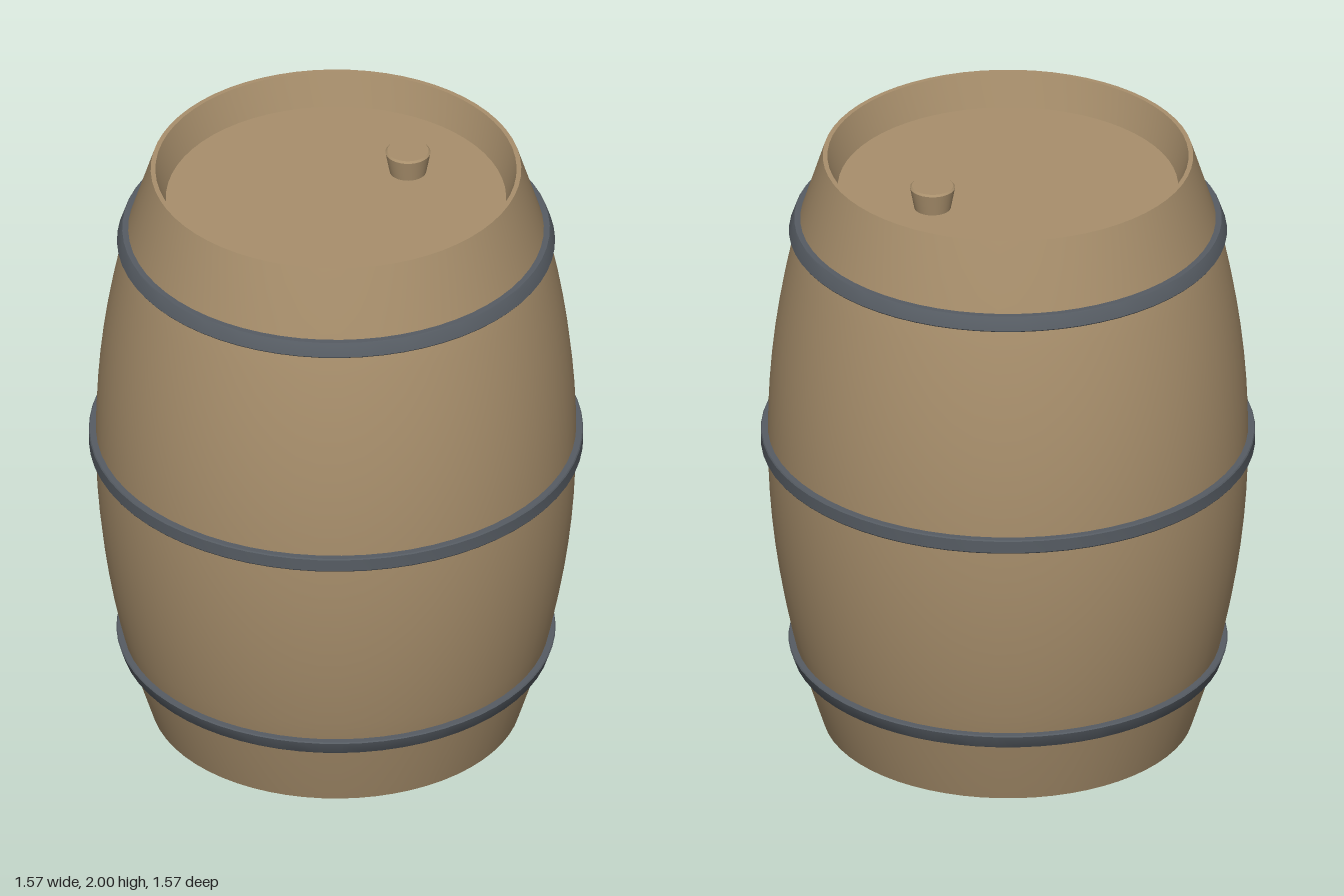
import * as THREE from 'three';
import { toCreasedNormals } from 'three/addons/utils/BufferGeometryUtils.js';

const SEGMENTS = 64;

export function createModel() {
  const barrel = new THREE.Group();
  barrel.name = 'barrel';

  const wood = new THREE.MeshStandardMaterial({ color: 0xa88f6c });
  wood.name = 'wood';
  const iron = new THREE.MeshStandardMaterial({ color: 0x565c63 });
  iron.name = 'iron';

  const add = (name, geometry, material) => {
    const mesh = new THREE.Mesh(geometry, material);
    mesh.name = name;
    barrel.add(mesh);
    return mesh;
  };
  // Revolved profile of [radius, y] pairs with crisp edges
  const turned = (profile, segments = SEGMENTS) => toCreasedNormals(
    new THREE.LatheGeometry(profile.map(([r, y]) => new THREE.Vector2(r, y)), segments), 0.5);

  // Radius of the bulging wall at a height, with straight tapered ends
  const wallRadius = (y) => {
    const d = Math.abs(y - 1);
    return d > 0.75 ? 0.67 - (d - 0.75) * 0.32 : 0.765 - 0.169 * d * d;
  };

  // Wall: recessed lower lip, bulging outside, recessed upper lip
  const profile = [[0.542, 0.11], [0.575, 0], [0.59, 0]];
  for (let i = 0; i <= 16; i++) {
    const y = 0.25 + (1.5 * i) / 16;
    profile.push([wallRadius(y), y]);
  }
  profile.push([0.59, 2], [0.575, 2], [0.542, 1.89]);
  add('staves', turned(profile), wood);

  // Flat heads set into both ends
  for (const [name, y, side] of [['topHead', 1.89, -1], ['bottomHead', 0.11, 1]]) {
    const head = add(name, new THREE.CircleGeometry(0.543, SEGMENTS), wood);
    head.rotation.x = (side * Math.PI) / 2;
    head.position.y = y;
  }

  // Hoops following the slope of the wall
  for (const [name, y] of [['lowerHoop', 0.255], ['middleHoop', 1.003], ['upperHoop', 1.752]]) {
    const low = y - 0.024, high = y + 0.024;
    const rLow = wallRadius(low), rHigh = wallRadius(high);
    add(name, turned([
      [rLow - 0.01, low], [rLow + 0.019, low], [rLow + 0.022, low + 0.004],
      [rHigh + 0.022, high - 0.004], [rHigh + 0.019, high], [rHigh - 0.01, high],
    ]), iron);
  }

  // Tapered bung standing on the top head
  const bung = add('bung', turned([
    [0.058, 0], [0.072, 0.074], [0.066, 0.08], [0, 0.08],
  ], 32), wood);
  bung.position.set(0.28, 1.888, 0);

  return barrel;
}
